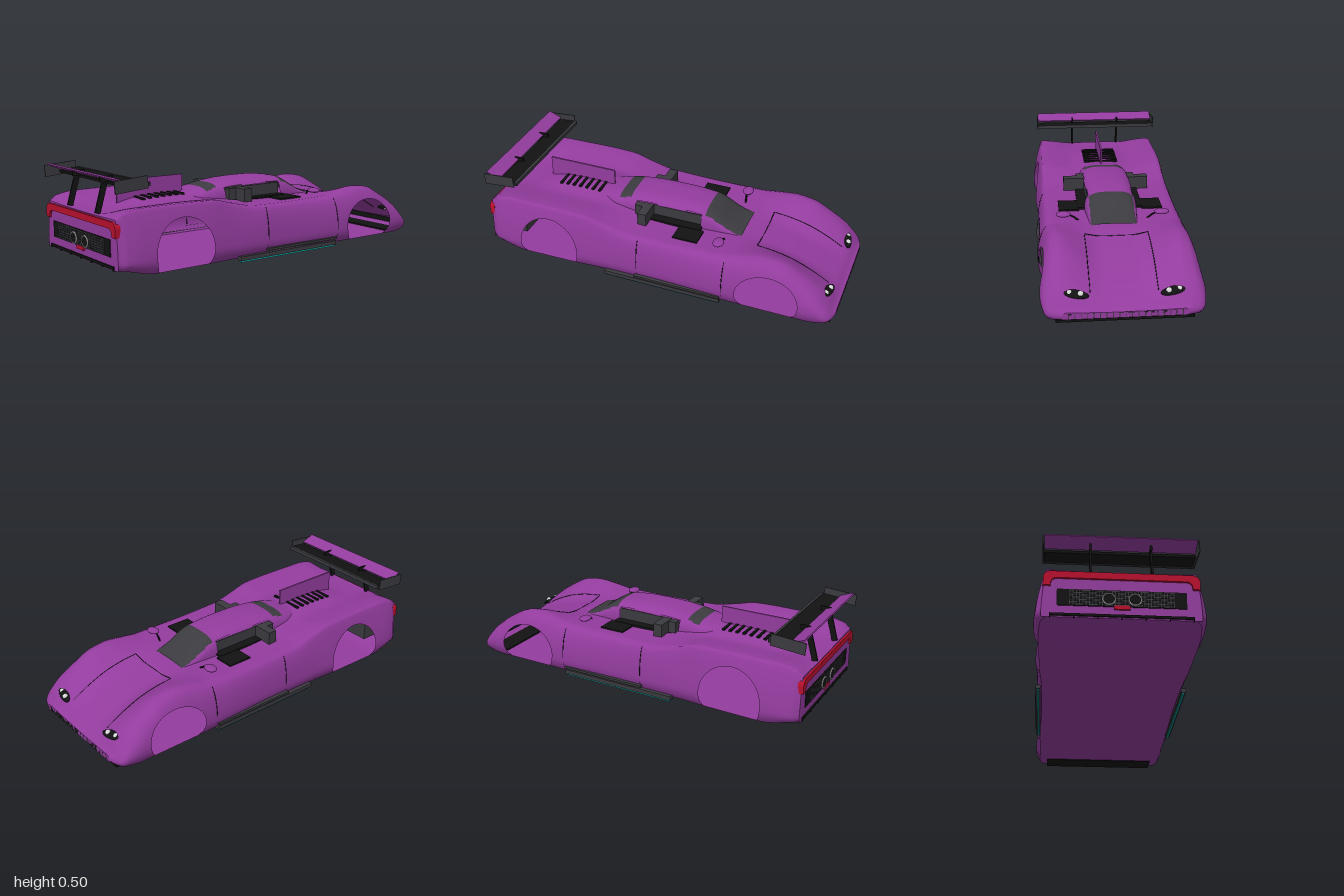
import * as THREE from 'three';

const mat = (name, color, side = THREE.FrontSide) => {
  const m = new THREE.MeshStandardMaterial({ color, side });
  m.name = name;
  return m;
};

// Smooth curve through [z, value] pairs
const curve = (pts) => (z) => {
  const n = pts.length - 1;
  if (z <= pts[0][0]) return pts[0][1];
  if (z >= pts[n][0]) return pts[n][1];
  let i = 0;
  while (z > pts[i + 1][0]) i++;
  const slope = (k) => {
    if (k <= 0 || k >= n) return 0;
    const a = (pts[k][1] - pts[k - 1][1]) / (pts[k][0] - pts[k - 1][0]);
    const b = (pts[k + 1][1] - pts[k][1]) / (pts[k + 1][0] - pts[k][0]);
    return a * b <= 0 ? 0 : (2 * a * b) / (a + b);
  };
  const h = pts[i + 1][0] - pts[i][0], t = (z - pts[i][0]) / h, u = 1 - t;
  return (1 + 2 * t) * u * u * pts[i][1] + t * u * u * h * slope(i)
    + t * t * (3 - 2 * t) * pts[i + 1][1] - t * t * u * h * slope(i + 1);
};

// Body section rules along the length
const width = curve([[-1, .3], [-.985, .355], [-.95, .385], [-.85, .4], [-.5, .4], [0, .388], [.3, .39], [.5, .4], [.85, .405], [.95, .395], [.985, .37]]);
const crestY = curve([[-1, .075], [-.95, .13], [-.9, .18], [-.8, .25], [-.7, .3], [-.6, .313], [-.5, .3], [-.38, .282], [-.1, .278], [.15, .282], [.3, .31], [.42, .338], [.6, .343], [.85, .342], [.95, .325], [.985, .3]]);
const crestX = curve([[-1, .28], [-.9, .3], [-.6, .31], [-.3, .33], [.2, .345], [.5, .355], [.985, .35]]);
const centreY = curve([[-1, .07], [-.95, .105], [-.9, .13], [-.8, .175], [-.6, .235], [-.4, .27], [0, .278], [.3, .3], [.6, .308], [.985, .295]]);
const crown = curve([[.1, 0], [.3, .02], [.45, .035], [.65, .03], [.88, 0]]);
const floorY = curve([[-1, .04], [-.95, .025], [-.85, .02], [.78, .02], [.985, .055]]);
const roundness = curve([[-1, 1], [.1, 1], [.4, .3], [.985, .15]]);
const arches = [{ z: .617, y: .105, a: .172, b: .172 }, { z: -.645, y: .105, a: .17, b: .135 }];

const sideX = (z, y) => {
  const lo = floorY(z), hi = crestY(z), mid = Math.min(.09, lo + .4 * (hi - lo));
  const t = THREE.MathUtils.clamp((y - mid) / (hi - mid), 0, 1);
  const d = THREE.MathUtils.clamp((mid - y) / (mid - lo), 0, 1);
  const bend = THREE.MathUtils.lerp(t ** 1.5, 1 - Math.sqrt(1 - t * t), roundness(z));
  return width(z) - (width(z) - crestX(z)) * bend - .025 * d * d;
};
const topY = (z, x) => {
  const g = THREE.MathUtils.smoothstep(Math.abs(x) / crestX(z), .25, 1);
  return THREE.MathUtils.lerp(centreY(z), crestY(z), g) + crown(z) * Math.exp(-((x / .13) ** 4));
};

// Grid surface; pick returns a material index, or -1 for an opening
function grid(nu, nv, point, pick = () => 0) {
  const pos = [], lists = [[], []];
  for (let i = 0; i <= nu; i++) for (let j = 0; j <= nv; j++) pos.push(...point(i, j));
  for (let i = 0; i < nu; i++) for (let j = 0; j < nv; j++) {
    const m = pick(i, j);
    if (m < 0) continue;
    const a = i * (nv + 1) + j, b = a + nv + 1;
    lists[m].push(a, a + 1, b, b, a + 1, b + 1);
  }
  const g = new THREE.BufferGeometry();
  g.setAttribute('position', new THREE.Float32BufferAttribute(pos, 3));
  g.setIndex([...lists[0], ...lists[1]]);
  g.addGroup(0, lists[0].length, 0);
  g.addGroup(lists[0].length, lists[1].length, 1);
  g.computeVertexNormals();
  return g;
}

export function createModel() {
  const car = new THREE.Group();
  car.name = 'raceCar';
  const paint = mat('purplePaint', 0x933c9e, THREE.DoubleSide);
  const grey = mat('darkGrey', 0x3b3b40, THREE.DoubleSide);
  const black = mat('black', 0x121212);
  const red = mat('lampRed', 0xb8102e);
  const silver = mat('silver', 0xd8d8d8);
  const teal = mat('teal', 0x12a0a0);

  const add = (name, geo, m, x = 0, y = 0, z = 0) => {
    const mesh = new THREE.Mesh(geo, m);
    mesh.name = name;
    mesh.position.set(x, y, z);
    car.add(mesh);
    return mesh;
  };
  const box = (name, m, w, h, d, x, y, z) => add(name, new THREE.BoxGeometry(w, h, d), m, x, y, z);
  const line = (name, pts, r = .0022) => add(name, new THREE.TubeGeometry(
    new THREE.CatmullRomCurve3(pts.map((p) => new THREE.Vector3(...p))), 24, r, 4), black);

  // Body shell: side rows, then deck rows, mirrored, with wheel arches cut out
  const N = 180, S = 22, T = 18, M = S + T;
  const zAt = (i) => -1 + 1.985 * i / N;
  const flat = (i, k) => [zAt(i), floorY(zAt(i)) + (crestY(zAt(i)) - floorY(zAt(i))) * k / S];
  const archAt = (z, y) => arches.find((c) => Math.hypot((z - c.z) / c.a, (y - c.y) / c.b) < 1);
  const shellPoint = (i, j) => {
    const k = Math.min(j, 2 * M - j), s = j <= M ? 1 : -1;
    if (k > S) {
      const z = zAt(i), x = crestX(z) * (1 - (k - S) / T);
      return [s * x, topY(z, x), z];
    }
    let [z, y] = flat(i, k);
    const c = archAt(z, y);
    if (c) {
      const d = Math.hypot((z - c.z) / c.a, (y - c.y) / c.b) + 1e-6;
      z = c.z + (z - c.z) / d;
      y = c.y + (y - c.y) / d;
    }
    return [s * sideX(z, y), y, z];
  };
  const shellPick = (i, j) => {
    const k = j < M ? j : 2 * M - j - 1;
    if (k >= S) return 0;
    return [[i, k], [i + 1, k], [i, k + 1], [i + 1, k + 1]].every((q) => archAt(...flat(...q))) ? -1 : 0;
  };
  add('bodyShell', grid(N, 2 * M, shellPoint, shellPick), [paint, paint]);
  add('floorPan', grid(N, 2, (i, j) => {
    const z = zAt(i);
    return [(j - 1) * sideX(z, floorY(z)), floorY(z), z];
  }), [paint, paint]);
  for (const [name, i] of [['nosePanel', 0], ['tailPanel', N]]) {
    add(name, grid(1, 2 * M, (u, j) => {
      const p = shellPoint(i, j);
      return u ? p : [p[0], floorY(zAt(i)), zAt(i)];
    }), [paint, paint]);
  }

  // Cabin with windscreen, rear window and open sides
  const roofY = curve([[-.42, .277], [-.36, .298], [-.21, .378], [-.05, .39], [.1, .387], [.23, .374], [.3, .36], [.45, .335]]);
  const roofW = curve([[-.42, .125], [-.2, .14], [.1, .145], [.3, .14], [.45, .11]]);
  const CZ = 87, CA = 36;
  const cabinPoint = (i, j) => {
    const z = -.42 + .01 * i, a = Math.PI * j / CA, c = Math.cos(a);
    return [roofW(z) * Math.sign(c) * Math.abs(c) ** .6, .26 + (roofY(z) - .26) * Math.abs(Math.sin(a)) ** .6, z];
  };
  add('cabin', grid(CZ, CA, cabinPoint, (i, j) => {
    const z = -.415 + .01 * i, a = cabinPoint(i, j), b = cabinPoint(i, j + 1);
    const x = Math.abs(a[0] + b[0]) / 2, y = (a[1] + b[1]) / 2;
    if (z > -.19 && z < .19 && y < .355) return -1;
    return (z < -.21 && x < .118) || (z > .23 && z < .3 && x < .112) ? 1 : 0;
  }), [paint, grey]);

  // Cockpit sides, mirrors, headlights, sills and panel gaps
  for (const s of [1, -1]) {
    box('cockpitFloor', black, .055, .012, .38, s * .148, .282, -.01);
    box('cockpitOpening', black, .11, .009, .14, s * .225, .281, -.15);
    box('cockpitSide', grey, .006, .075, .29, s * .122, .312, -.045);
    box('headrestBox', grey, .115, .074, .05, s * .182, .316, .115);
    box('headrestEdge', grey, .04, .074, .09, s * .145, .314, .14);
    add('mirror', new THREE.SphereGeometry(1, 20, 12), paint, s * .26, .305, -.335).scale.set(.04, .014, .03);
    line('mirrorStalk', [[s * .23, .3, -.335], [s * .205, .29, -.34], [s * .18, .27, -.345]], .005);

    const lampY = topY(-.935, .23);
    const rim = add('headlightRim', new THREE.SphereGeometry(1, 20, 12), black, s * .235, lampY, -.935);
    rim.scale.set(.068, .012, .024);
    rim.rotation.set(-.5, s * -.25, 0);
    for (const dx of [-.026, .026])
      add('headlight', new THREE.SphereGeometry(.015, 14, 10), silver, s * (.235 + dx), lampY + .004, -.936 + dx * .25);

    box('sill', grey, .026, .022, .67, s * .382, .021, -.055);
    box('sillLedge', grey, .02, .012, .49, s * .391, .048, -.145);
    box('skidStrip', teal, .01, .01, .66, s * .382, .005, -.055);
    for (const z of [.09, -.4])
      line('doorGap', [.06, .12, .18, .23, .265].map((y) => [s * sideX(z, y), y, z]));
    line('hoodGap', [-.92, -.82, -.72, -.62, -.52].map((z) => [s * .163, topY(z, .163), z]));
  }
  line('hoodRearGap', [-.163, -.08, 0, .08, .163].map((x) => [x, topY(-.52, x), -.52]));

  // Nose intake and splitter
  box('noseIntake', black, .56, .028, .008, 0, .056, -.996);
  box('splitter', black, .66, .012, .13, 0, .022, -.915);
  for (let i = -9; i <= 9; i++) box('intakeBar', grey, .004, .026, .004, i * .03, .056, -.999);

  // Engine deck fin and louvres
  box('fin', paint, .01, .12, .4, 0, .37, .58);
  for (let i = 0; i < 7; i++) {
    const z = .435 + i * .04;
    box('louvre', black, .2, .01, .014, 0, topY(z, .05) + .001, z);
  }

  // Tail: lamp bar, mesh grille, exhausts, lower strip
  const lamp = new THREE.Shape();
  lamp.moveTo(-.365, .215);
  lamp.lineTo(-.365, .255);
  lamp.quadraticCurveTo(-.362, .29, -.325, .29);
  lamp.lineTo(.325, .29);
  lamp.quadraticCurveTo(.362, .29, .365, .255);
  lamp.lineTo(.365, .215);
  lamp.lineTo(.33, .215);
  lamp.quadraticCurveTo(.33, .255, .3, .255);
  lamp.lineTo(-.3, .255);
  lamp.quadraticCurveTo(-.33, .255, -.33, .215);
  add('tailLamp', new THREE.ExtrudeGeometry(lamp, { depth: .03, bevelEnabled: false }), red, 0, 0, .966);
  box('tailGrille', black, .6, .085, .008, 0, .157, .985);
  for (let i = 0; i < 7; i++) box('grilleBar', grey, .48, .004, .003, 0, .121 + i * .012, .99);
  for (let i = -16; i <= 16; i++) box('grilleBar', grey, .004, .082, .003, i * .015, .157, .99);
  box('gearboxHousing', grey, .56, .12, .13, 0, .13, .89);
  box('rearFogLamp', red, .074, .02, .012, 0, .109, .988);
  box('lowerStrip', black, .66, .012, .014, 0, .067, .985);
  for (let i = -3; i <= 3; i++) box('stripFin', black, .005, .022, .012, i * .11, .063, .986);
  for (const s of [1, -1]) {
    add('exhaust', new THREE.CylinderGeometry(.028, .028, .03, 28).rotateX(Math.PI / 2), black, s * .06, .15, .983);
    add('exhaustRim', new THREE.TorusGeometry(.029, .0035, 8, 28), silver, s * .06, .15, .996);
  }

  // Rear wing on two struts
  box('wingBlade', black, .73, .014, .11, 0, .453, .858).rotation.x = .08;
  box('wingLeadingEdge', grey, .73, .02, .012, 0, .457, .806);
  box('wingFlap', paint, .73, .008, .08, 0, .48, .948).rotation.x = -.38;
  for (const s of [1, -1]) {
    box('wingEndPlate', grey, .006, .062, .18, s * .37, .462, .906).rotation.x = .08;
    box('wingStrut', black, .01, .15, .03, s * .145, .372, .947).rotation.x = -.28;
    box('wingBracket', black, .01, .03, .07, s * .145, .465, .915);
  }
  return car;
}
